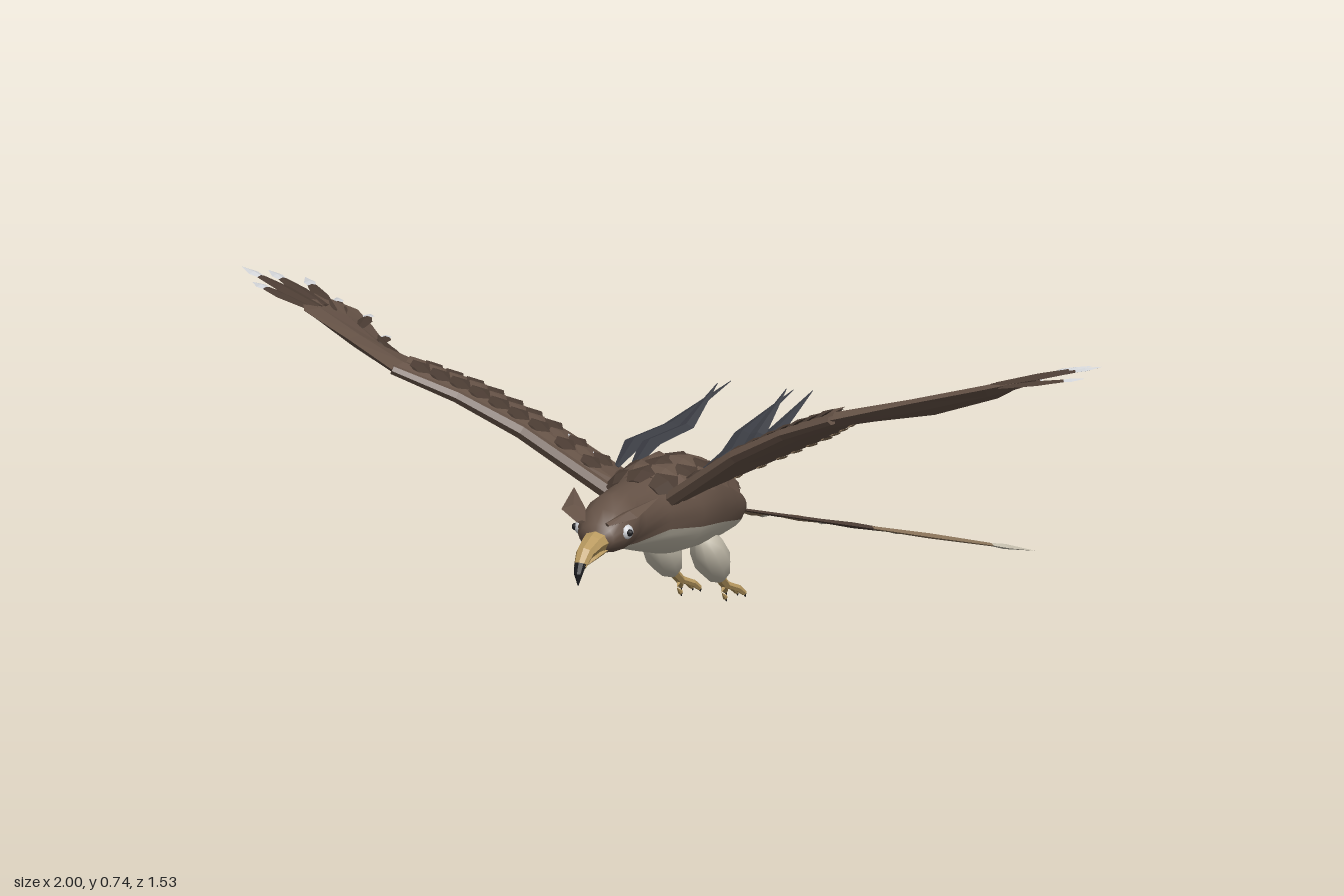
import * as THREE from 'three';

const mat = (name, color) => new THREE.MeshStandardMaterial({ name, color });
const V = (x, y, z) => new THREE.Vector3(x, y, z);

export function createModel() {
  const bird = new THREE.Group();
  bird.name = 'birdOfPrey';
  const brown = mat('brown', 0x665347), darkBrown = mat('darkBrown', 0x4c3d34), tan = mat('tan', 0x8c755b);
  const cream = mat('cream', 0xc8c1b0), slate = mat('slate', 0x3b3d44), gold = mat('gold', 0xb99a60);
  const black = mat('black', 0x1c1c1f), silver = mat('silver', 0xd2d4d8);

  const add = (name, geometry, material, parent = bird) => {
    const mesh = new THREE.Mesh(geometry, material);
    mesh.name = name;
    parent.add(mesh);
    return mesh;
  };

  // Skin over a row of rings; closed rings also get end caps
  function loft(rings, { closed = true, flip = false, flat = true } = {}) {
    const n = rings[0].length, idx = [];
    const tri = (a, b, c) => (flip ? idx.push(a, c, b) : idx.push(a, b, c));
    for (let i = 0; i < rings.length - 1; i++) {
      for (let j = 0; j < (closed ? n : n - 1); j++) {
        const k = (j + 1) % n, a = i * n, b = a + n;
        tri(a + j, a + k, b + j);
        tri(a + k, b + k, b + j);
      }
    }
    if (closed) {
      const e = (rings.length - 1) * n;
      for (let j = 1; j < n - 1; j++) {
        tri(0, j + 1, j);
        tri(e, e + j, e + j + 1);
      }
    }
    let g = new THREE.BufferGeometry().setFromPoints(rings.flat());
    g.setIndex(idx);
    if (flat) g = g.toNonIndexed();
    g.computeVertexNormals();
    return g;
  }

  // Tapered blade along a path; thick is a fraction of the width
  function blade(path, widths, { thick = 0.3, up = V(0, 1, 0), sides = 4, flat = true } = {}) {
    const rings = path.map((p, i) => {
      const t = path[Math.min(i + 1, path.length - 1)].clone().sub(path[Math.max(i - 1, 0)]).normalize();
      const side = up.clone().cross(t).normalize(), top = t.clone().cross(side);
      return Array.from({ length: sides }, (_, j) => {
        const a = (j / sides) * Math.PI * 2;
        return p.clone().addScaledVector(side, Math.cos(a) * widths[i])
          .addScaledVector(top, Math.sin(a) * widths[i] * thick);
      });
    });
    return loft(rings, { flat });
  }
  const scale = (a, b, w, up) => blade([a, a.clone().lerp(b, 0.55), b], [w * 0.5, w, 0.001], { thick: 0.2, up });

  // Body stations from tail to face: z, top, bottom, half width, belly line
  const stations = [
    [-0.1, 0.25, 0.225, 0.015, 0.232], [-0.095, 0.272, 0.21, 0.035, 0.228], [0, 0.325, 0.205, 0.07, 0.238],
    [0.1, 0.38, 0.213, 0.095, 0.265], [0.2, 0.428, 0.222, 0.11, 0.29], [0.33, 0.436, 0.243, 0.115, 0.315],
    [0.44, 0.434, 0.278, 0.085, 0.335], [0.53, 0.438, 0.308, 0.064, 0.325], [0.57, 0.438, 0.315, 0.064, 0.315],
    [0.62, 0.42, 0.322, 0.06, 0.322], [0.655, 0.395, 0.335, 0.04, 0.335], [0.665, 0.37, 0.355, 0.01, 0.355],
  ];
  const arc = ([z, top, bot, w, line], belly) => {
    const cy = (top + bot) / 2, h = (top - bot) / 2;
    const a0 = Math.asin(Math.max(-1, (line - cy) / h));
    const from = belly ? -Math.PI - a0 : a0, to = belly ? a0 : Math.PI - a0;
    return Array.from({ length: 15 }, (_, j) => {
      const a = from + ((to - from) * j) / 14;
      return V(Math.cos(a) * w, cy + Math.sin(a) * h, z);
    });
  };
  add('bodyAndHead', loft(stations.map((s) => arc(s, false)), { closed: false, flat: false }), brown);
  add('belly', loft(stations.slice(0, 9).map((s) => arc(s, true)), { closed: false, flat: false }), cream);
  add('rump', new THREE.SphereGeometry(0.025, 8, 6).translate(0, 0.24, -0.09), brown);

  // Overlapping feathers on the back
  const onBack = (z, a, lift) => {
    const i = Math.max(1, stations.findIndex((s) => s[0] >= z)), p = stations[i - 1], q = stations[i];
    const f = (z - p[0]) / (q[0] - p[0]), [, top, bot, w] = p.map((v, k) => v + (q[k] - v) * f);
    return V(Math.sin(a) * (w + lift), (top + bot) / 2 + Math.cos(a) * ((top - bot) / 2 + lift), z);
  };
  for (let r = 0; r < 9; r++) {
    for (const a of r % 2 ? [-0.85, -0.3, 0.3, 0.85] : [-0.6, 0, 0.6]) {
      const z = 0.45 - r * 0.048;
      add('backFeather', scale(onBack(z, a, 0), onBack(z - 0.085, a, 0.014), 0.032,
        V(Math.sin(a), Math.cos(a), 0)), r % 2 ? brown : darkBrown);
    }
  }

  // Hooked beak
  add('upperBeak', blade([V(0, 0.358, 0.635), V(0, 0.356, 0.68), V(0, 0.347, 0.72), V(0, 0.325, 0.746)],
    [0.034, 0.026, 0.02, 0.014], { thick: 0.8, sides: 8 }), gold);
  add('beakHook', blade([V(0, 0.33, 0.744), V(0, 0.31, 0.756), V(0, 0.285, 0.757)], [0.014, 0.01, 0.001],
    { thick: 0.8, sides: 8 }), black);
  add('lowerBeak', blade([V(0, 0.338, 0.64), V(0, 0.33, 0.69), V(0, 0.318, 0.725)], [0.024, 0.016, 0.002],
    { thick: 0.6, sides: 6 }), gold);

  // Long dark plumes trailing from the back
  add('centrePlume', blade([V(0, 0.33, 0.01), V(0, 0.333, -0.15), V(0, 0.338, -0.35), V(0, 0.372, -0.545)],
    [0.04, 0.034, 0.018, 0.001]), slate);
  const plumes = [[1, 0.1, 0.49, -0.16, 0], [-1, 0.1, 0.44, -0.33, 0], [-1, 0.06, 0.485, -0.16, 0.035],
    [1, 0.07, 0.455, -0.27, 0.035]];
  for (const [s, x, y, z, inset] of plumes) {
    add('backPlume', blade([V(s * (0.11 - inset), 0.41, 0.28), V(s * (0.13 - inset), 0.425, 0.13),
      V(s * (0.1 - inset), 0.43, 0.0), V(s * x, y, z)], [0.006, 0.024, 0.018, 0.001], { thick: 0.4 }), slate);
  }

  // Wing sections: leading edge, trailing edge, thickness
  const sections = [
    [V(0.07, 0.395, 0.42), V(0.07, 0.37, 0.23), 0.02], [V(0.25, 0.53, 0.485), V(0.25, 0.455, 0.21), 0.02],
    [V(0.38, 0.605, 0.53), V(0.38, 0.525, 0.24), 0.02], [V(0.51, 0.662, 0.575), V(0.49, 0.605, 0.37), 0.018],
    [V(0.65, 0.688, 0.48), V(0.63, 0.61, 0.285), 0.016], [V(0.79, 0.712, 0.39), V(0.725, 0.625, 0.165), 0.014],
    [V(0.825, 0.708, 0.31), V(0.77, 0.65, 0.14), 0.012], [V(0.845, 0.7, 0.24), V(0.83, 0.68, 0.175), 0.006],
  ];
  const normals = sections.map(([l, t], i) => {
    const span = sections[Math.min(i + 1, 7)][0].clone().sub(sections[Math.max(i - 1, 0)][0]);
    return span.cross(t.clone().sub(l)).normalize();
  });

  for (const s of [1, -1]) {
    const side = s > 0 ? 'left' : 'right';
    const P = (x, y, z) => V(s * x, y, z);
    const M = (v) => P(v.x, v.y, v.z);
    const wing = new THREE.Group();
    wing.name = side + 'Wing';
    bird.add(wing);

    const rings = sections.map(([l, t, h], i) =>
      [[0, 0], [0.2, 1], [0.6, 0.8], [1, 0], [0.6, -0.5], [0.2, -0.8]].map(([v, k]) =>
        M(l.clone().lerp(t, v).addScaledVector(normals[i], k * h))));
    add('wingBlade', loft(rings, { flip: s > 0 }), brown, wing);
    add('wingArm', blade(sections.slice(0, 4).map(([l]) => M(l.clone().add(V(0, -0.002, -0.006)))),
      [0.022, 0.02, 0.017, 0.013], { thick: 0.8, sides: 6 }), brown, wing);

    // Point above (or below) the wing: u along the sections, v from front to back
    const onWing = (u, v, lift) => {
      const i = Math.min(Math.floor(u), 6), f = u - i;
      const a = sections[i][0].clone().lerp(sections[i][1], v), b = sections[i + 1][0].clone().lerp(sections[i + 1][1], v);
      return M(a.lerp(b, f).addScaledVector(normals[i].clone().lerp(normals[i + 1], f), lift));
    };
    const up = M(normals[1]);
    for (let r = 0; r < 3; r++) {
      for (let k = 0; k < 9; k++) {
        const u = 0.35 + k * 0.3 + (r % 2) * 0.15, v = 0.08 + r * 0.14;
        add('covertFeather', scale(onWing(u, v, 0.017), onWing(u, v + 0.27, 0.028), 0.026, up),
          r % 2 ? brown : darkBrown, wing);
      }
    }
    for (let k = 0; k < 9; k++) {
      const u = 0.5 + k * 0.3, v = 0.47 + k * 0.025;
      add('covertTip', scale(onWing(u, v, 0.02), onWing(u, v + 0.13, 0.018), 0.011, up), silver, wing);
      add('underwingTip', scale(onWing(u, 0.74, -0.01), onWing(u, 0.93, -0.007), 0.012, up), tan, wing);
    }
    // Slim feathers behind the elbow
    for (let k = 0; k < 3; k++) {
      add('elbowFeather', scale(onWing(3.2 + k * 0.2, 0.45, 0.014), onWing(4.1 + k * 0.15, 0.85, 0.012), 0.014, up),
        darkBrown, wing);
    }
    // Pale tipped flight feathers
    const tips = [[0.998, 0.745, 0.235], [0.955, 0.73, 0.19], [0.895, 0.705, 0.13], [0.82, 0.67, 0.135],
      [0.745, 0.64, 0.13], [0.68, 0.615, 0.19], [0.965, 0.72, 0.255]];
    const roots = [[0.78, 0.705, 0.33], [0.78, 0.7, 0.3], [0.77, 0.685, 0.28], [0.75, 0.67, 0.28],
      [0.7, 0.66, 0.3], [0.64, 0.64, 0.33], [0.8, 0.705, 0.34]];
    tips.forEach((t, i) => {
      const a = P(...roots[i]), b = P(...t), at = (f) => a.clone().lerp(b, f);
      add('flightFeather', blade([a, at(0.45), at(0.76)], [0.012, 0.018, 0.01]), darkBrown, wing);
      add('flightFeatherTip', blade([at(0.7), at(0.85), b], [0.006, 0.013, 0.001]), silver, wing);
    });

    // Tail fan
    for (const [x, y, z, w, color] of [[0.42, 0.002, -0.77, 0.019, tan], [0.205, 0.055, -0.62, 0.021, darkBrown],
      [0.075, 0.105, -0.47, 0.02, tan]]) {
      const a = P(0.02, 0.235, -0.08), b = P(x, y, z), at = (f) => a.clone().lerp(b, f);
      add('tailShaft', blade([a, at(0.25), at(0.45)], [0.01, 0.012, 0.014]), darkBrown);
      add('tailVane', blade([at(0.35), at(0.65), at(0.9)], [0.009, w, 0.01]), color);
      add('tailTip', blade([at(0.83), at(0.9), b], [0.008, 0.019, 0.001]), cream);
    }

    // Brow tuft and eye
    add(side + 'BrowTuft', blade([P(0.03, 0.4, 0.668), P(0.066, 0.414, 0.625), P(0.098, 0.436, 0.545)],
      [0.01, 0.026, 0.001], { thick: 0.4 }), brown);
    add(side + 'Eye', new THREE.SphereGeometry(0.017, 12, 8).translate(s * 0.051, 0.373, 0.615), silver);
    add(side + 'Pupil', new THREE.SphereGeometry(0.008, 8, 6).translate(s * 0.063, 0.374, 0.622), black);

    // Leg with taloned foot
    add(side + 'Thigh', blade([P(0.055, 0.255, 0.2), P(0.056, 0.225, 0.18), P(0.056, 0.185, 0.145),
      P(0.055, 0.15, 0.115), P(0.054, 0.13, 0.1)], [0.02, 0.038, 0.041, 0.028, 0.01],
    { thick: 1, sides: 10, flat: false }), cream);
    add(side + 'Shank', blade([P(0.054, 0.145, 0.115), P(0.052, 0.105, 0.06)], [0.012, 0.01],
      { thick: 1, sides: 6 }), gold);
    for (const [dx, y, z] of [[-0.022, 0.078, 0.012], [0, 0.076, 0.002], [0.022, 0.078, 0.012], [0, 0.08, 0.065]]) {
      const tip = P(0.052 + dx, y, z);
      add('toe', blade([P(0.052, 0.11, 0.065), P(0.052 + dx * 0.7, y + 0.016, z + 0.02), tip],
        [0.008, 0.008, 0.006], { thick: 1, sides: 6 }), gold);
      add('talon', blade([tip, tip.clone().add(V(0, -0.01, -0.006))], [0.005, 0.001], { thick: 1 }), black);
    }
  }
  return bird;
}
